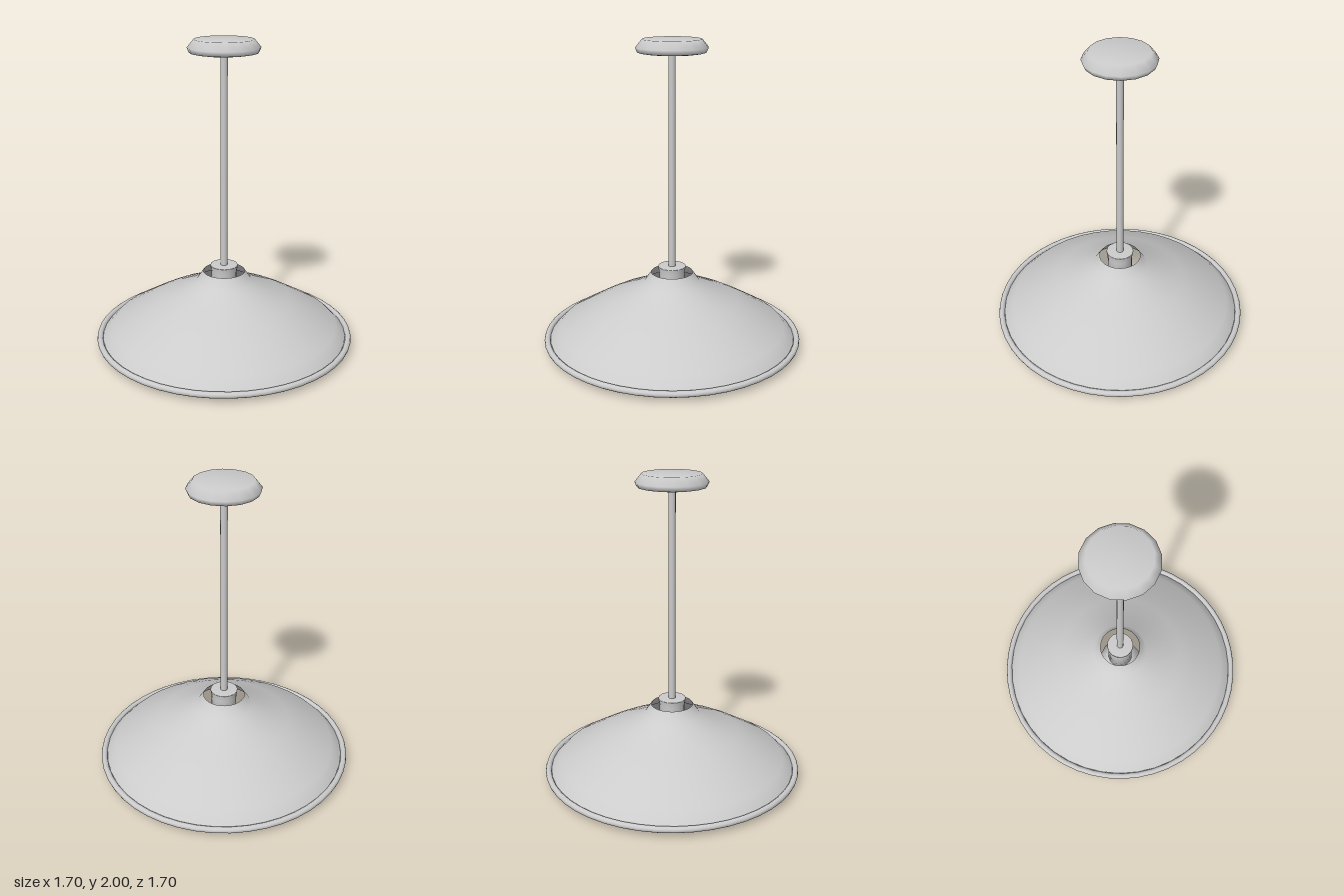
import * as THREE from 'three';

const material = new THREE.MeshStandardMaterial({ color: 0xcccccc });
const shell = new THREE.MeshStandardMaterial({ color: 0xcccccc, side: THREE.DoubleSide });

// Turned part from [radius, height] pairs, listed from bottom to top
function turned(name, profile, segments, mat = material) {
  const points = profile.map(([r, y]) => new THREE.Vector2(r, y));
  const mesh = new THREE.Mesh(new THREE.LatheGeometry(points, segments), mat);
  mesh.name = name;
  return mesh;
}

export function createModel() {
  const lamp = new THREE.Group();
  lamp.name = 'pendantLamp';

  // Ceiling canopy
  lamp.add(turned('ceilingCanopy',
    [[0, 1.915], [0.19, 1.915], [0.215, 1.92], [0.228, 1.95], [0.187, 2], [0, 2]], 16));

  // Hanging rod
  const rod = new THREE.Mesh(new THREE.CylinderGeometry(0.023, 0.023, 1.42, 12), material);
  rod.name = 'rod';
  rod.position.y = 1.22;
  lamp.add(rod);

  // Bulb holder with a flared collar
  lamp.add(turned('bulbHolder',
    [[0, 0.3], [0.083, 0.3], [0.083, 0.48], [0.091, 0.525], [0.09, 0.53], [0, 0.53]], 16));

  // Conical shade, open at the neck and below
  lamp.add(turned('shade',
    [[0.81, 0.055], [0.795, 0.072], [0.745, 0.123], [0.54, 0.245], [0.434, 0.302],
      [0.185, 0.417], [0.137, 0.488]], 40, shell));

  // Rolled rim of the shade
  const rim = new THREE.Mesh(new THREE.TorusGeometry(0.829, 0.02, 10, 48), material);
  rim.name = 'shadeRim';
  rim.rotation.x = Math.PI / 2;
  rim.position.y = 0.05;
  lamp.add(rim);

  // Light bulb
  const bulb = new THREE.Mesh(new THREE.SphereGeometry(0.157, 10, 5), material);
  bulb.name = 'bulb';
  bulb.position.y = 0.157;
  lamp.add(bulb);

  return lamp;
}
